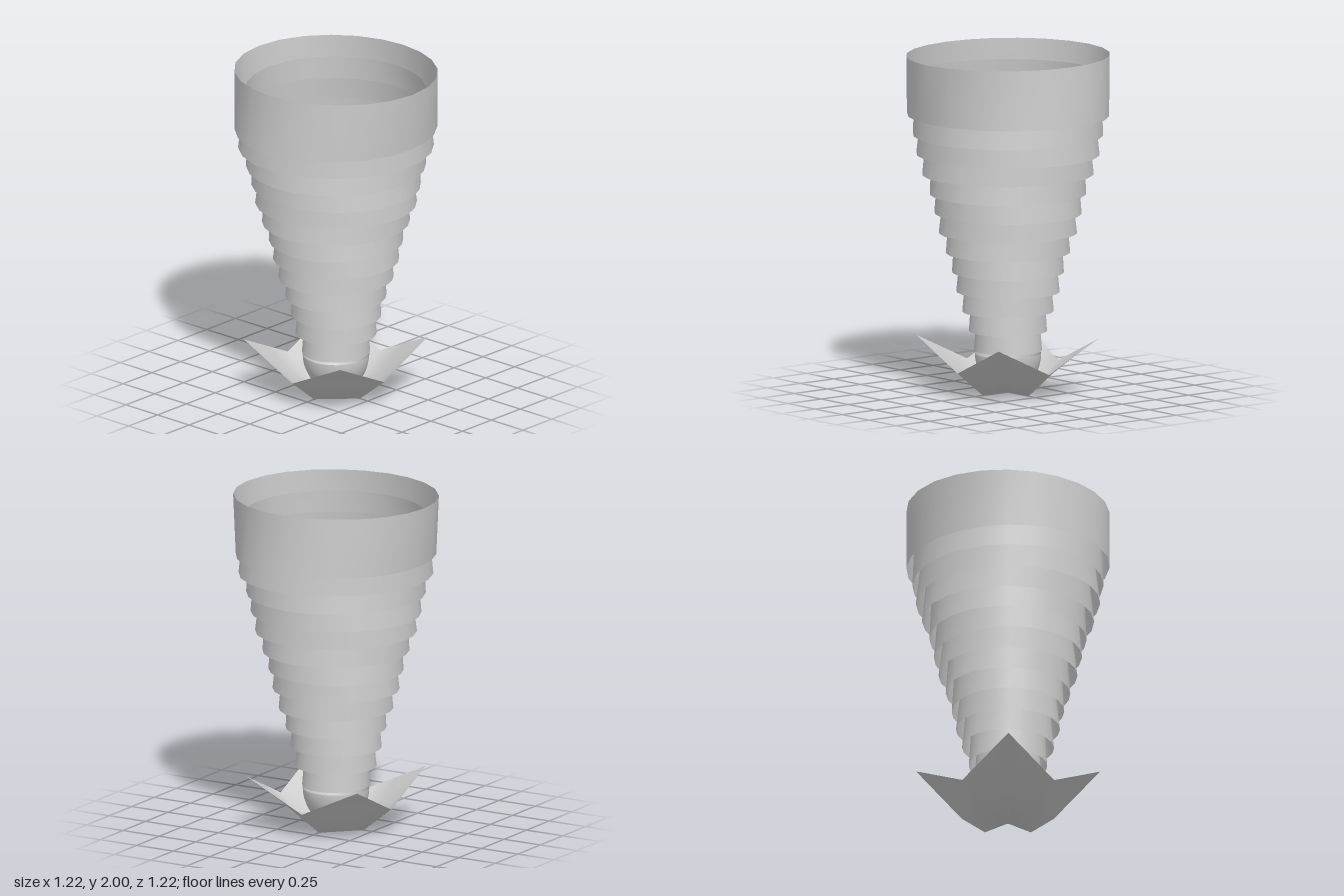
import * as THREE from 'three';

const material = new THREE.MeshStandardMaterial({ color: 0xcccccc, side: THREE.DoubleSide });

function addMesh(parent, name, geometry) {
  const mesh = new THREE.Mesh(geometry, material);
  mesh.name = name;
  parent.add(mesh);
  return mesh;
}

// Open band, slightly oval, whose oval turns between its lower and upper edge
function bandGeometry(bottomRadius, topRadius, height, oval, phase) {
  const geometry = new THREE.CylinderGeometry(1, 1, height, 24, 1, true);
  const pos = geometry.attributes.position;
  for (let i = 0; i < pos.count; i++) {
    const angle = Math.atan2(pos.getZ(i), pos.getX(i));
    const top = pos.getY(i) > 0;
    const turn = top ? phase + Math.PI / 2 : phase;
    const r = (top ? topRadius : bottomRadius) + oval * Math.cos(2 * (angle - turn));
    pos.setXYZ(i, r * Math.cos(angle), pos.getY(i) + height / 2, r * Math.sin(angle));
  }
  geometry.computeVertexNormals();
  // Join the shading across the seam
  const n = geometry.attributes.normal;
  for (const row of [0, 25]) {
    const a = new THREE.Vector3().fromBufferAttribute(n, row);
    a.add(new THREE.Vector3().fromBufferAttribute(n, row + 24)).normalize();
    n.setXYZ(row, a.x, a.y, a.z);
    n.setXYZ(row + 24, a.x, a.y, a.z);
  }
  return geometry;
}

// Square sheet folded up at its four corners
function leafBaseGeometry() {
  const geometry = new THREE.PlaneGeometry(0.76, 0.76, 4, 4).rotateX(Math.PI / 2);
  const heights = [[0, 0, 0.15], [0, 0.12, 0.24], [0.15, 0.24, 0.33]];
  const pos = geometry.attributes.position;
  for (let i = 0; i < pos.count; i++) {
    const col = Math.round(Math.abs(pos.getX(i)) / 0.19);
    const row = Math.round(Math.abs(pos.getZ(i)) / 0.19);
    pos.setY(i, heights[col][row]);
  }
  geometry.computeVertexNormals();
  return geometry;
}

export function createModel() {
  const model = new THREE.Group();
  model.name = 'telescopicCup';

  // Nested telescoping bands, narrow at the bottom and wide at the top
  const bands = new THREE.Group();
  bands.name = 'bands';
  model.add(bands);
  const count = 13;
  for (let i = 0; i < count - 1; i++) {
    const radius = 0.2 + 0.0333 * i;
    const band = addMesh(bands, `band${i + 1}`,
      bandGeometry(radius, radius - 0.03, 0.355, 0.004 + 0.0004 * i, i * 0.9));
    band.position.y = 0.25 + 0.1163 * i;
  }
  const rim = addMesh(bands, 'rimBand', bandGeometry(0.594, 0.594, 0.355, 0.015, 0));
  rim.position.y = 1.645;

  // Rounded cup below the bands
  const cup = addMesh(model, 'innerCup',
    new THREE.SphereGeometry(0.195, 24, 10, 0, Math.PI * 2, Math.PI / 2, Math.PI / 2));
  cup.scale.y = 1.14;
  cup.position.y = 0.232;

  // Folded leaf-like foot
  addMesh(model, 'leafBase', leafBaseGeometry());
  return model;
}
